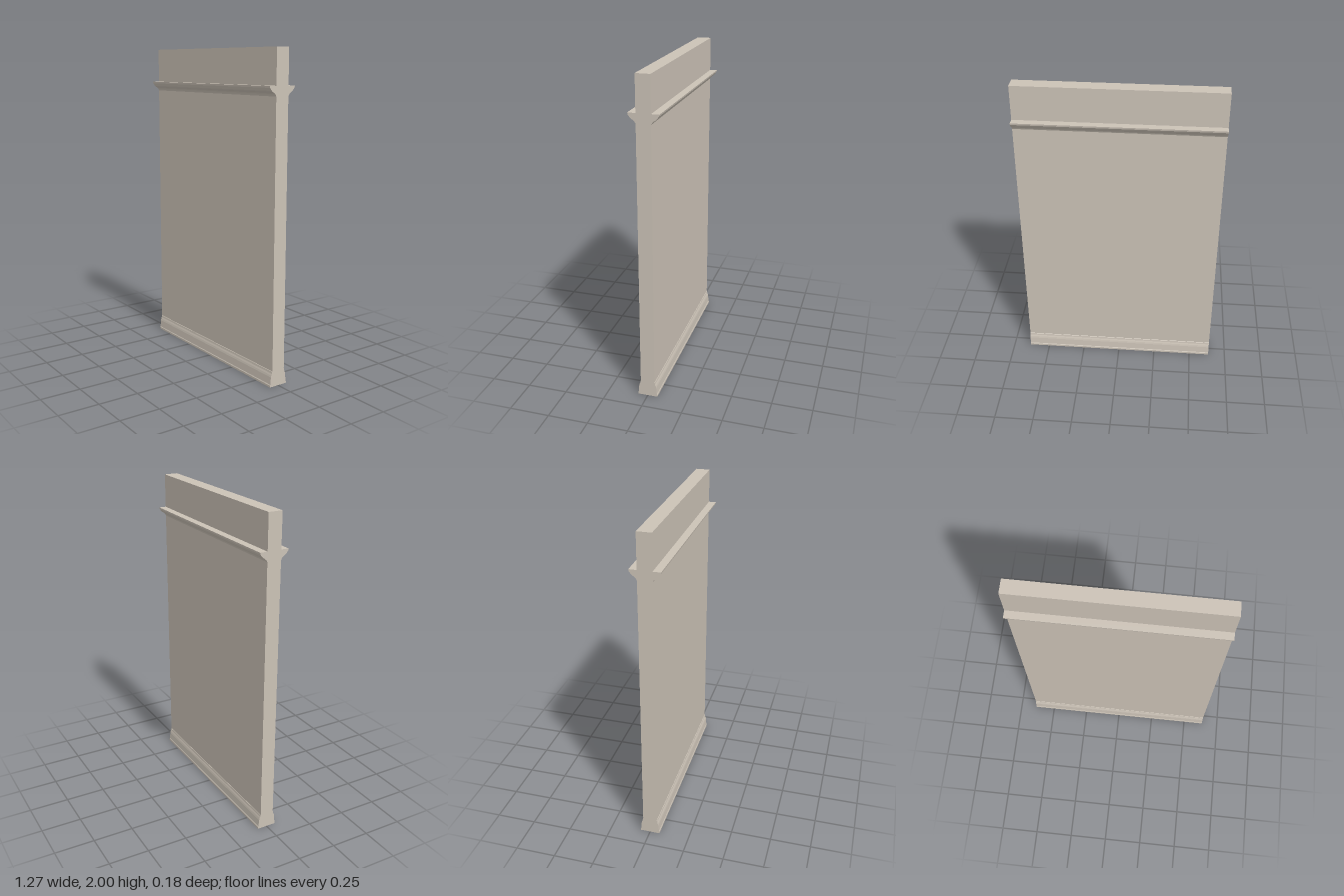
import * as THREE from 'three';

const WIDTH = 1.27;
const HALF = 0.044; // half thickness of the wall

// Extrude a (z, y) profile along x, centred on x = 0
function runAlongX(points) {
  const shape = new THREE.Shape(points.map(([z, y]) => new THREE.Vector2(z, y)));
  const geo = new THREE.ExtrudeGeometry(shape, { depth: WIDTH, bevelEnabled: false });
  geo.translate(0, 0, -WIDTH / 2);
  geo.rotateY(-Math.PI / 2);
  return geo;
}

export function createModel() {
  const group = new THREE.Group();
  const plaster = new THREE.MeshStandardMaterial({ color: 0xcbc2b6 });
  plaster.name = 'warm plaster';

  const add = (name, geo) => {
    const mesh = new THREE.Mesh(geo, plaster);
    mesh.name = name;
    group.add(mesh);
    return mesh;
  };

  // Wall slab
  add('wallPanel', new THREE.BoxGeometry(WIDTH, 2, HALF * 2)).position.y = 1;

  // Skirting: small foot lip, tapered face, curved top
  const skirting = runAlongX([
    [HALF, 0], [0.062, 0], [0.062, 0.012], [0.059, 0.017], [0.055, 0.062],
    [0.052, 0.074], [0.048, 0.084], [0.046, 0.096], [HALF, 0.098],
  ]);

  // Picture rail: flat top, thin lip, stepped cove underneath
  const rail = runAlongX([
    [HALF, 1.725], [0.047, 1.731], [0.052, 1.739], [0.06, 1.746], [0.069, 1.751],
    [0.076, 1.757], [0.083, 1.766], [0.089, 1.774], [0.091, 1.785], [HALF, 1.785],
  ]);

  // Same mouldings on both faces
  for (const [side, turn] of [['front', 0], ['back', Math.PI]]) {
    add(side + 'Skirting', skirting).rotation.y = turn;
    add(side + 'PictureRail', rail).rotation.y = turn;
  }
  return group;
}
